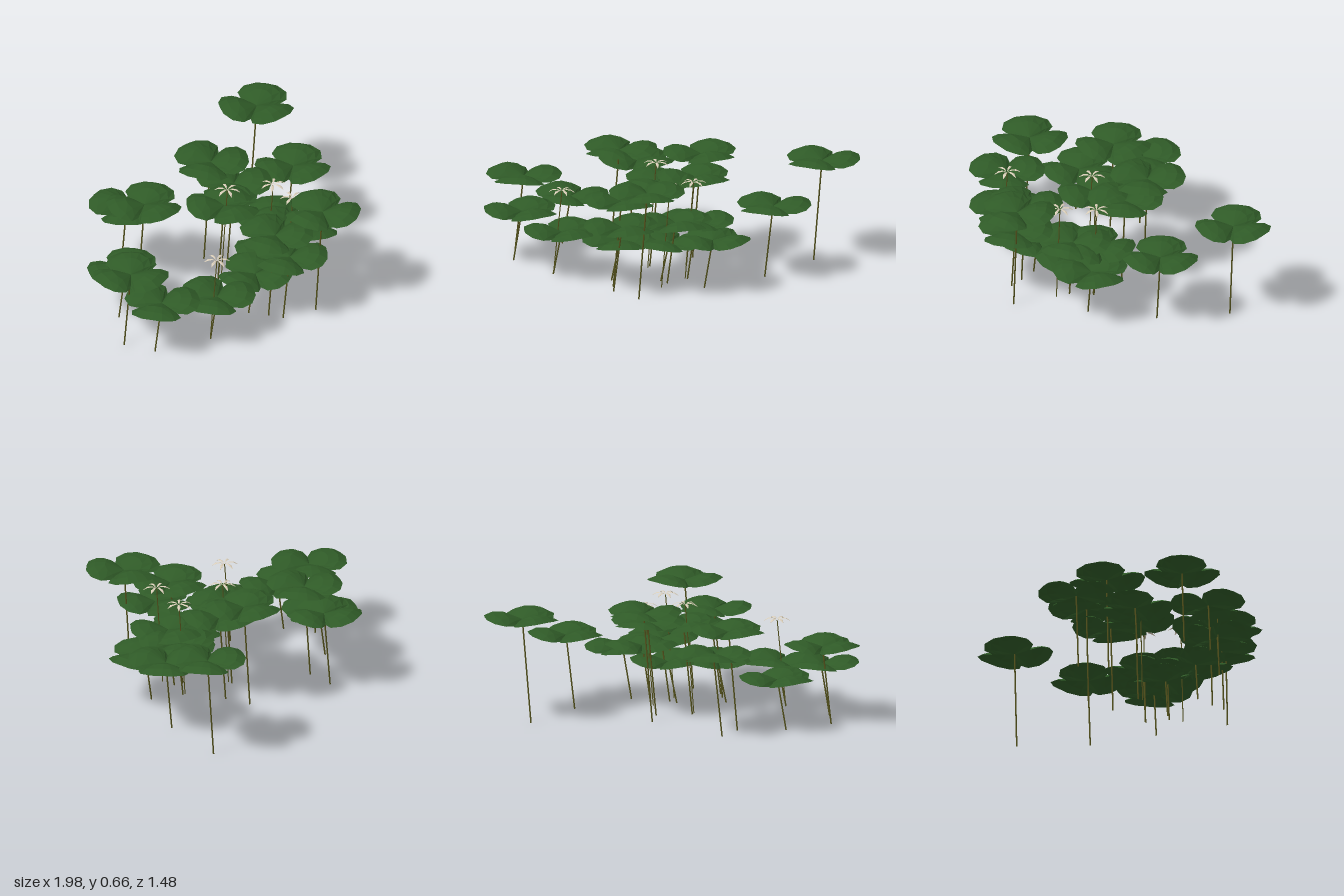
import * as THREE from 'three';

const leafMat = new THREE.MeshStandardMaterial({ color: 0x2f5a27, side: THREE.DoubleSide });
leafMat.name = 'leaf green';
const stemMat = new THREE.MeshStandardMaterial({ color: 0x55531c });
stemMat.name = 'stem olive';
const petalMat = new THREE.MeshStandardMaterial({ color: 0xd9cdb8, side: THREE.DoubleSide });
petalMat.name = 'petal cream';

const LEAN = 0.052; // every stem leans the same distance towards +x

// Builds a faceted surface from rows of points with equal length
function surface(rows) {
  const pos = [];
  const tri = (a, b, c) => pos.push(...a, ...b, ...c);
  for (let i = 0; i < rows.length - 1; i++) {
    for (let j = 0; j < rows[i].length - 1; j++) {
      const a = rows[i][j], b = rows[i + 1][j], c = rows[i + 1][j + 1], d = rows[i][j + 1];
      tri(a, b, c);
      if (i > 0) tri(a, c, d);
    }
  }
  const g = new THREE.BufferGeometry();
  g.setAttribute('position', new THREE.Float32BufferAttribute(pos, 3));
  g.computeVertexNormals();
  return g;
}

// Leaflet pointing along +x: a wide rounded wedge, arched and drooping at its sides
function leafletGeometry() {
  const outline = [[60, 0.125], [52, 0.18], [36, 0.21], [16, 0.215], [0, 0.21],
    [-16, 0.215], [-36, 0.21], [-52, 0.18], [-60, 0.125]];
  const arch = [[0, 0], [0.5, 0.042], [0.78, 0.04], [1, 0.016]];
  const rows = arch.map(([t, h]) => outline.map(([deg, r]) => {
    const a = THREE.MathUtils.degToRad(deg);
    const side = Math.pow(Math.abs(deg) / 60, 2);
    const y = h * (1 - side) - 0.014 * side * t;
    return [Math.cos(a) * r * t, y, -Math.sin(a) * r * t];
  }).reverse());
  return surface(rows);
}

// Narrow petal pointing along +x that rises and then droops
function petalGeometry() {
  const sections = [[0, 0, 0.002], [0.025, 0.01, 0.006], [0.05, 0.008, 0.009], [0.072, -0.006, 0.001]];
  return surface(sections.map(([x, y, w]) => [[x, y, -w], [x, y + 0.003, 0], [x, y, w]]));
}

const leafGeo = leafletGeometry();
const petalGeo = petalGeometry();

function stem(x, y, z, radius) {
  const path = new THREE.LineCurve3(new THREE.Vector3(x - LEAN, 0, z), new THREE.Vector3(x, y, z));
  const m = new THREE.Mesh(new THREE.TubeGeometry(path, 1, radius, 5), stemMat);
  m.name = 'stem';
  return m;
}

// Plant made of a leaning stem with a ring of blades on top
function plant(name, bladeName, geo, mat, count, radius, [x, z, y, deg]) {
  const g = new THREE.Group();
  g.name = name;
  g.add(stem(x, y, z, radius));
  for (let i = 0; i < count; i++) {
    const blade = new THREE.Mesh(geo, mat);
    blade.name = bladeName;
    blade.position.set(x, y, z);
    blade.rotation.y = THREE.MathUtils.degToRad(deg) + (i * 2 * Math.PI) / count;
    g.add(blade);
  }
  return g;
}

export function createModel() {
  const model = new THREE.Group();
  model.name = 'cloverPatch';

  // x, z, height, heading of the first leaflet in degrees
  const clovers = [
    [0.785, -0.545, 0.59, 270], [0.68, -0.15, 0.42, 275],
    [-0.32, -0.452, 0.455, 105], [-0.345, -0.285, 0.56, 270],
    [-0.595, -0.18, 0.285, 270], [-0.775, 0.045, 0.44, 165],
    [-0.7, 0.213, 0.295, 210], [-0.39, 0.337, 0.255, 90],
    [0.165, -0.28, 0.615, 85], [0.2, -0.133, 0.525, 330],
    [0.025, -0.03, 0.505, 20], [0.24, 0.53, 0.62, 303],
    [0.01, 0.39, 0.505, 200], [0.05, 0.465, 0.38, 320],
    [0.315, 0.08, 0.34, 50], [0.25, 0.2, 0.36, 315],
    [0.47, 0.178, 0.285, 0], [-0.05, 0.293, 0.235, 180],
    [0.2, 0.18, 0.235, 270],
  ];
  for (const c of clovers) model.add(plant('clover', 'leaflet', leafGeo, leafMat, 3, 0.0045, c));

  // x, z, height, heading of the first petal in degrees
  const flowers = [
    [-0.39, 0.335, 0.49, 20], [0.025, -0.005, 0.615, 5],
    [0.3, 0.078, 0.565, 40], [0.255, 0.28, 0.59, 15],
  ];
  for (const f of flowers) model.add(plant('flower', 'petal', petalGeo, petalMat, 6, 0.003, f));

  return model;
}
